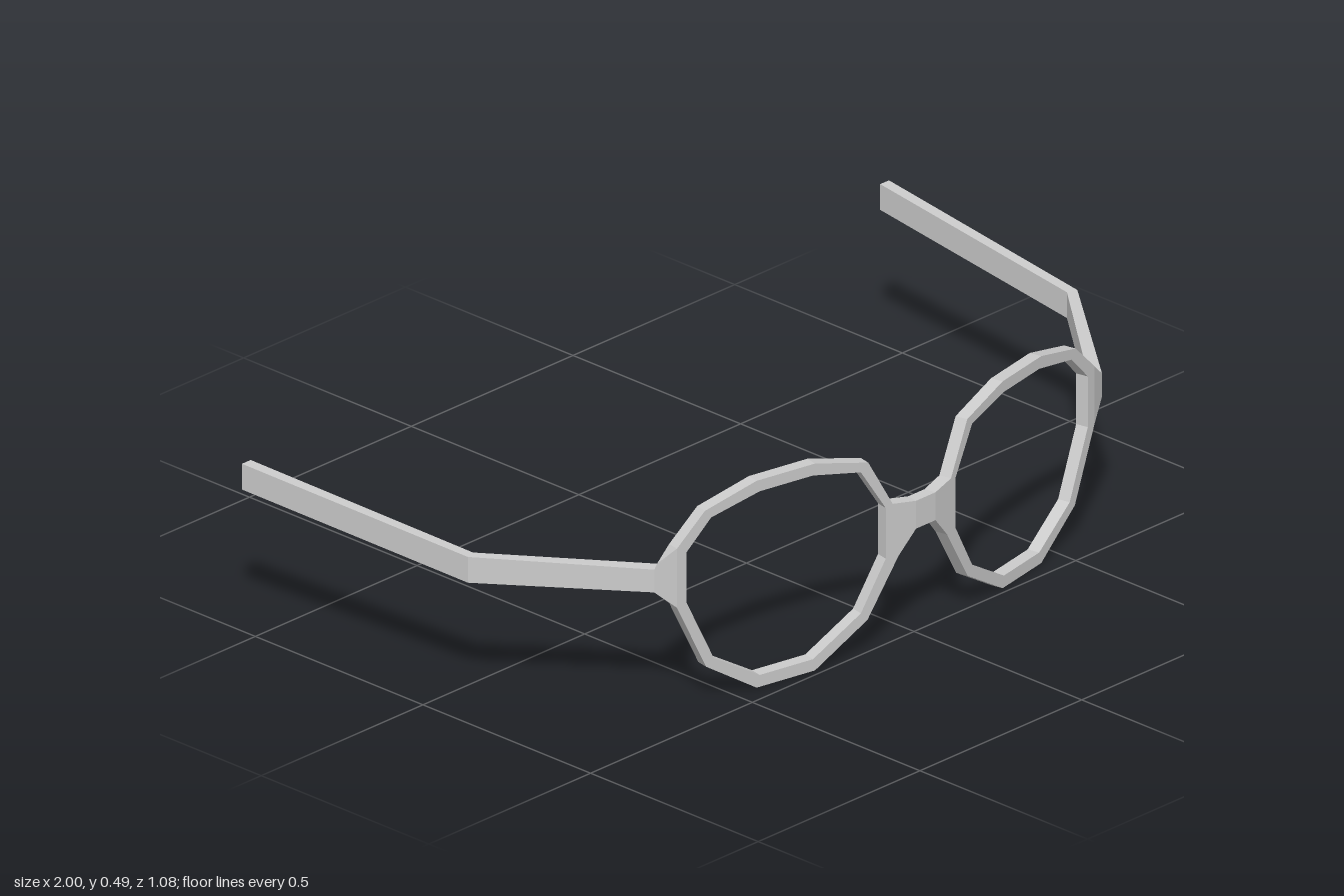
import * as THREE from 'three';

const material = new THREE.MeshStandardMaterial({ color: 0xcccccc, flatShading: true });

// Skin a run of four-cornered sections; closed runs join up, open runs get end caps.
function loft(name, sections, closed = false) {
  const pos = [];
  const quad = (a, b, c, d) => pos.push(...a, ...b, ...c, ...a, ...c, ...d);
  const n = sections.length;
  for (let i = 0; i < (closed ? n : n - 1); i++) {
    const a = sections[i], b = sections[(i + 1) % n];
    for (let k = 0; k < 4; k++) {
      const m = (k + 1) % 4;
      quad(a[k], a[m], b[m], b[k]);
    }
  }
  if (!closed) {
    const s = sections[0], e = sections[n - 1];
    quad(s[3], s[2], s[1], s[0]);
    quad(e[0], e[1], e[2], e[3]);
  }
  const geo = new THREE.BufferGeometry();
  geo.setAttribute('position', new THREE.Float32BufferAttribute(pos, 3));
  geo.computeVertexNormals();
  const mesh = new THREE.Mesh(geo, material);
  mesh.name = name;
  return mesh;
}

// Mirror sections across x, reversing corners so faces still point outward.
const mirror = (sections) =>
  sections.map((s) => s.map(([x, y, z]) => [-x, y, z]).reverse());

// Upright section between a front and a back plan point.
const upright = ([fx, fz], [bx, bz], low, high) =>
  [[fx, low, fz], [bx, low, bz], [bx, high, bz], [fx, high, fz]];

// The rims sweep back from the bridge.
const frontZ = (x) => 0.535 - 0.195 * (x - 0.03);
const front = (x, y) => [x, y, frontZ(x)];
const back = (x, y) => [x - 0.006, y, frontZ(x) - 0.029];

// Rim outline, clockwise from the top: outer x, y and inner x, y.
const rimPoints = [
  [0.29, 0.49, 0.295, 0.463], [0.44, 0.49, 0.432, 0.463],
  [0.573, 0.455, 0.557, 0.435], [0.645, 0.385, 0.62, 0.37],
  [0.645, 0.245, 0.62, 0.25], [0.57, 0.085, 0.55, 0.1],
  [0.44, 0.0, 0.432, 0.028], [0.29, 0.0, 0.295, 0.028],
  [0.155, 0.083, 0.172, 0.103], [0.075, 0.213, 0.108, 0.215],
  [0.09, 0.34, 0.108, 0.335], [0.153, 0.455, 0.172, 0.437],
];

export function createModel() {
  const group = new THREE.Group();
  group.name = 'eyeglasses';

  const rim = rimPoints.map(([ox, oy, ix, iy]) =>
    [front(ix, iy), back(ix, iy), back(ox, oy), front(ox, oy)]);

  // Hinge flare, outward cheek piece, then the long side arm.
  const temple = [
    upright([0.645, 0.415], [0.639, 0.386], 0.245, 0.385),
    upright([0.692, 0.393], [0.666, 0.376], 0.29, 0.344),
    upright([0.942, 0.078], [0.918, 0.07], 0.295, 0.356),
    upright([1.0, -0.54], [0.973, -0.54], 0.335, 0.396),
  ];

  group.add(loft('leftRim', rim, true), loft('rightRim', mirror(rim), true));
  group.add(loft('leftTemple', temple), loft('rightTemple', mirror(temple)));

  // Nose bridge, flaring into both rims.
  const half = [
    upright([0.03, 0.535], [0.025, 0.507], 0.265, 0.331),
    [front(0.075, 0.213), back(0.075, 0.213), back(0.09, 0.34), front(0.09, 0.34)],
  ];
  const other = half.map((s) => s.map(([x, y, z]) => [-x, y, z])).reverse();
  group.add(loft('bridge', [...other, ...half]));

  return group;
}
